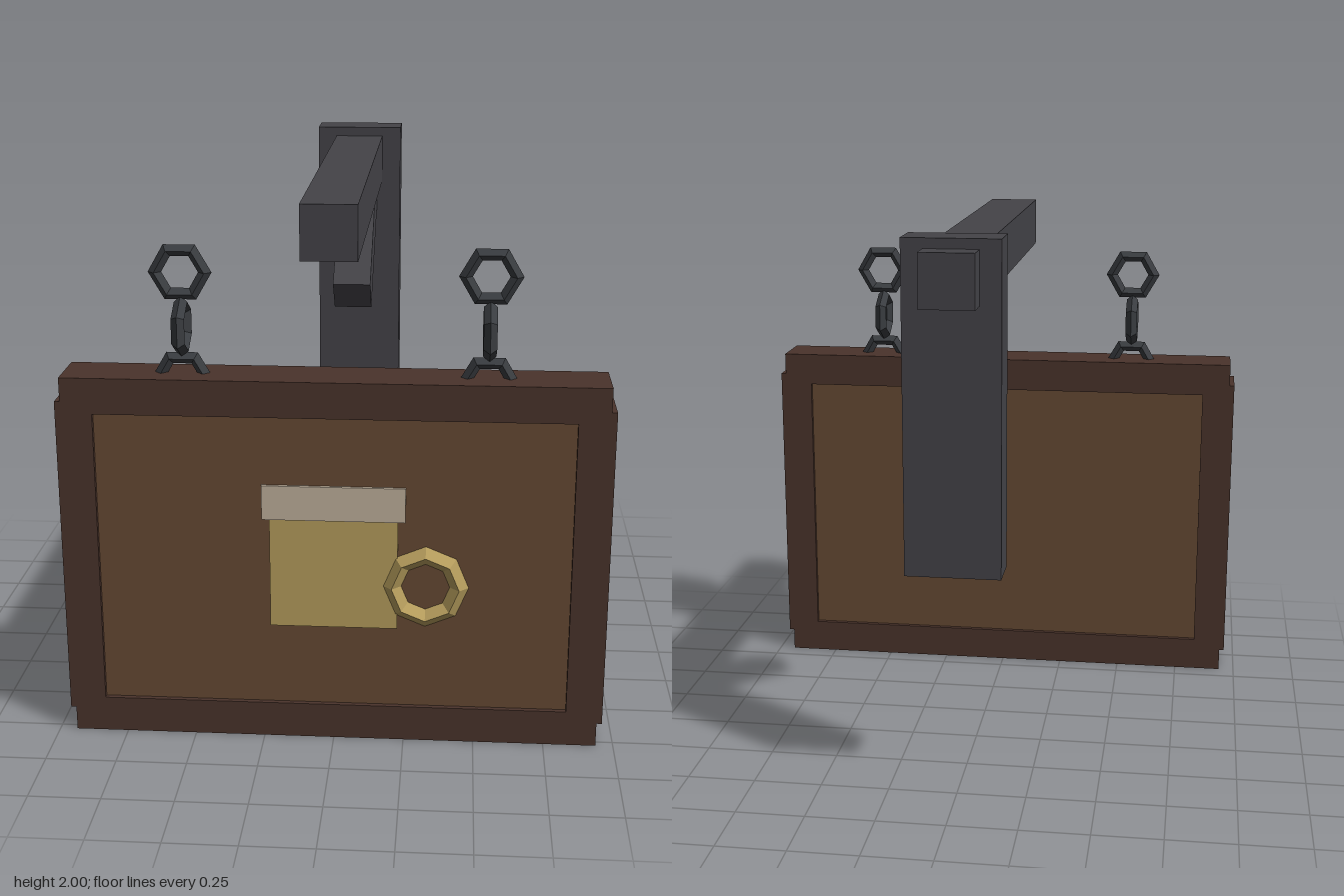
import * as THREE from 'three';

const mat = (name, color) => Object.assign(new THREE.MeshStandardMaterial({ color }), { name });

export function createModel() {
  const iron = mat('dark iron', 0x444348);
  const chainMetal = mat('chain metal', 0x393c40);
  const frameWood = mat('frame wood', 0x4a332b);
  const panelWood = mat('panel wood', 0x664a34);
  const gold = mat('gold', 0xb69d5d);
  const cream = mat('cream', 0xbfb09c);

  const model = new THREE.Group();
  model.name = 'hangingSign';

  function add(parent, name, geometry, material, x, y, z) {
    const mesh = new THREE.Mesh(geometry, material);
    mesh.name = name;
    mesh.position.set(x, y, z);
    parent.add(mesh);
    return mesh;
  }
  // Box given by its limits on each axis
  function box(parent, name, material, [x0, x1], [y0, y1], [z0, z1]) {
    return add(parent, name, new THREE.BoxGeometry(x1 - x0, y1 - y0, z1 - z0), material,
      (x0 + x1) / 2, (y0 + y1) / 2, (z0 + z1) / 2);
  }
  // Faceted ring with a diamond section
  function ring(radius, tube, sides) {
    const g = new THREE.TorusGeometry(radius, tube, 4, sides).toNonIndexed();
    g.computeVertexNormals();
    return g;
  }

  // Wall bracket: post, beam and slanted brace
  const bracket = new THREE.Group();
  bracket.name = 'bracket';
  model.add(bracket);
  box(bracket, 'post', iron, [-0.168, 0.168], [0.84, 2], [-0.822, -0.672]);
  box(bracket, 'beam', iron, [-0.094, 0.094], [1.78, 1.965], [-0.92, 0.92]);
  const slope = THREE.MathUtils.degToRad(40), length = 0.65;
  const brace = add(bracket, 'brace', new THREE.BoxGeometry(0.146, 0.147, length), iron, 0,
    1.397 + Math.sin(slope) * length / 2, -0.225 - Math.cos(slope) * length / 2);
  brace.rotation.x = slope;

  // Sign board: rails overlap at the corners, with a recessed panel
  const board = new THREE.Group();
  board.name = 'signBoard';
  model.add(board);
  const depth = [0.576, 0.777];
  box(board, 'topRail', frameWood, [-0.938, 0.938], [1.205, 1.333], depth);
  box(board, 'bottomRail', frameWood, [-0.938, 0.938], [0, 0.13], depth);
  for (const s of [-1, 1]) {
    const xs = s > 0 ? [0.828, 0.957] : [-0.957, -0.828];
    box(board, s > 0 ? 'leftRail' : 'rightRail', frameWood, xs, [0.088, 1.248], depth);
  }
  box(board, 'panel', panelWood, [-0.85, 0.85], [0.11, 1.22], [0.594, 0.759]);

  // Mug emblem
  const mug = new THREE.Group();
  mug.name = 'mugEmblem';
  model.add(mug);
  box(mug, 'mugBody', gold, [-0.224, 0.224], [0.43, 0.84], [0.758, 0.766]);
  box(mug, 'mugFoam', cream, [-0.25, 0.25], [0.832, 0.957], [0.758, 0.771]);
  add(mug, 'mugHandle', ring(0.118, 0.033, 8), gold, 0.322, 0.592, 0.762);

  // Chains: three interlocking six-sided links on each side
  for (const s of [-1, 1]) {
    const chain = new THREE.Group();
    chain.name = s > 0 ? 'leftChain' : 'rightChain';
    chain.position.set(s * 0.526, 0, 0.677);
    model.add(chain);
    [1.685, 1.495, 1.31].forEach((y, i) => {
      const link = add(chain, 'chainLink', ring(0.086, 0.023, 6), chainMetal, 0, y, 0);
      if (i === 1) link.rotation.set(0, Math.PI / 2, Math.PI / 6);
    });
  }
  return model;
}
